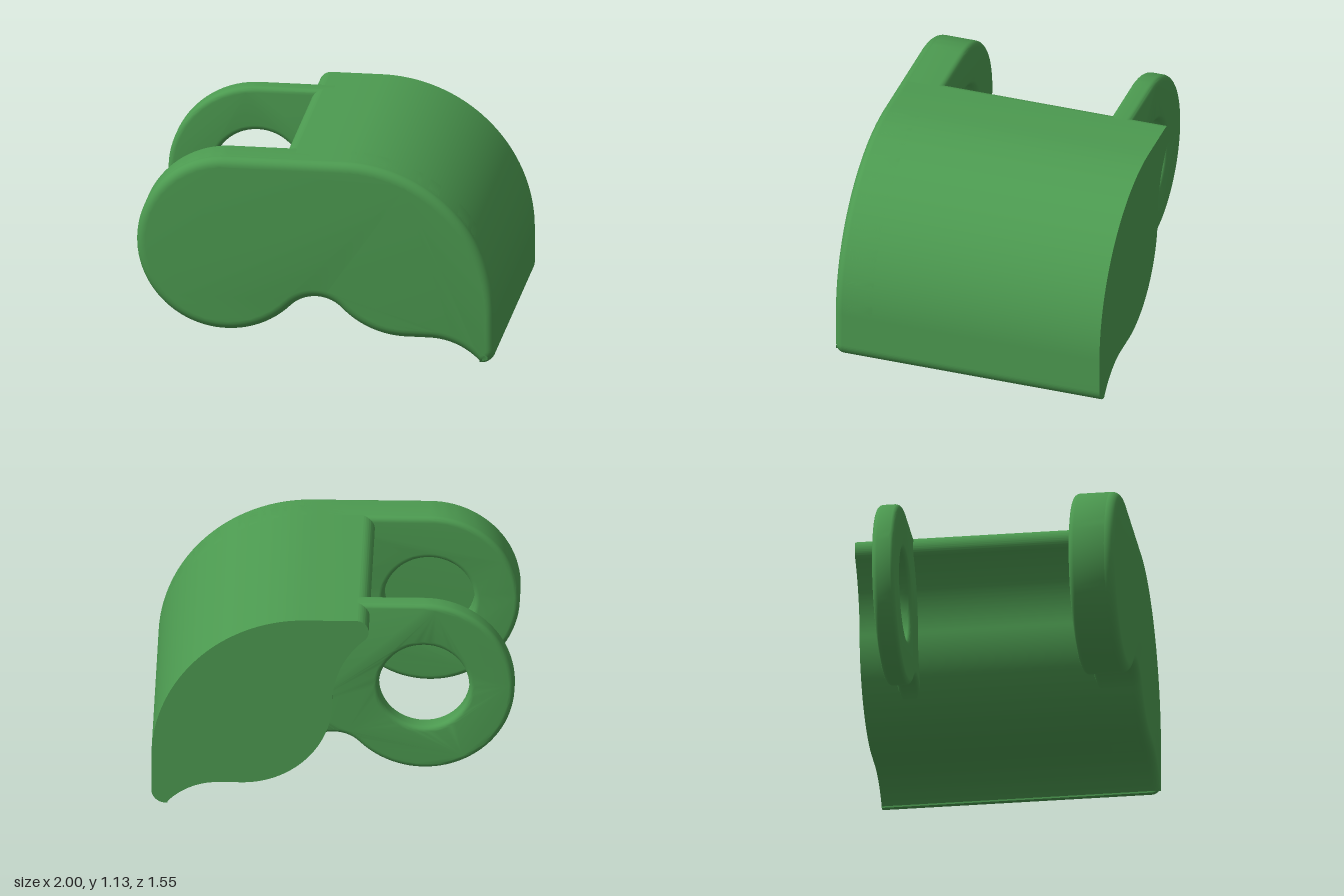
import * as THREE from 'three';
import { toCreasedNormals } from 'three/addons/utils/BufferGeometryUtils.js';

const PI = Math.PI;
const JOIN = Math.atan2(0.49, 0.5); // direction between lobe and neck centres
const HOLE_R = 0.25;

// Sample a path and drop coincident points, so bevels stay clean
function cleanShape(path) {
  const pts = path.getPoints(28).filter((p, i, all) => i === 0 || p.distanceTo(all[i - 1]) > 1e-4);
  if (pts[0].distanceTo(pts[pts.length - 1]) < 1e-4) pts.pop();
  return new THREE.Shape(pts);
}

// Round lobe on the right side, then the concave neck under the middle
function lobeAndNeck(path) {
  path.lineTo(-0.5, 1.13);
  path.absarc(-0.5, 0.63, 0.5, PI / 2, 2 * PI - JOIN, false);
  path.absarc(0, 0.14, 0.2, PI - JOIN, JOIN, true);
}

// Belly, hooked lip and large rounded back of the profile
function bellyAndBack(path, startAngle) {
  path.absarc(0.5, 0.63, 0.5, startAngle, 1.5 * PI, false);
  path.lineTo(0.63, 0.13);
  path.absarc(0.63, -0.257, 0.387, PI / 2, 0.762, true);
  path.absarc(0.92, 0.08, 0.08, -1.7, 0, false);
  path.absarc(0.15, 0.28, 0.85, 0, PI / 2, false);
}

function fullShape() {
  const p = new THREE.Path();
  p.moveTo(0.15, 1.13);
  lobeAndNeck(p);
  bellyAndBack(p, PI + JOIN);
  return cleanShape(p);
}

// Body section: cut away around the lobe, with a rounded upper tip
function bodyShape() {
  const p = new THREE.Path();
  const r = 0.0676, a = 0.865;
  p.moveTo(0.15, 1.13);
  p.absarc(-0.2 + r, 1.13 - r, r, PI / 2, PI + a, false);
  p.absarc(-0.5, 0.63, 0.5, a, 0, true);
  bellyAndBack(p, PI);
  return cleanShape(p);
}

// Ear: the lobe and neck, with its root buried in the body
function earShape() {
  const p = new THREE.Path();
  p.moveTo(-0.08, 1.13);
  lobeAndNeck(p);
  p.lineTo(0.2, 0.5);
  p.lineTo(-0.08, 1.13);
  return cleanShape(p);
}

function withHole(shape) {
  const hole = new THREE.Path();
  hole.absarc(-0.5, 0.63, HOLE_R, 0, 2 * PI, true);
  shape.holes.push(new THREE.Path(cleanShape(hole).getPoints()));
  return shape;
}

export function createModel() {
  const model = new THREE.Group();
  const material = new THREE.MeshStandardMaterial({ color: 0x4c9a50 });

  // Extrude between two z planes, rounding the edges inward by the fillet
  function addPart(name, shape, z0, z1, fillet) {
    const geometry = new THREE.ExtrudeGeometry(shape, {
      depth: z1 - z0 - 2 * fillet,
      curveSegments: 48,
      bevelEnabled: fillet > 0,
      bevelThickness: fillet,
      bevelSize: fillet,
      bevelOffset: -fillet,
      bevelSegments: 6,
    });
    geometry.translate(0, 0, z0 + fillet);
    const mesh = new THREE.Mesh(toCreasedNormals(geometry, 0.5), material);
    mesh.name = name;
    model.add(mesh);
  }

  addPart('body', bodyShape(), -0.775, 0.72, 0);
  addPart('backEar', withHole(earShape()), -0.575, -0.45, 0.03);
  // The front plate has a blind pocket: a pierced layer closed by a solid one
  addPart('frontPlatePocket', withHole(fullShape()), 0.52, 0.75, 0.03);
  addPart('frontPlateFace', fullShape(), 0.67, 0.775, 0.05);

  return model;
}
